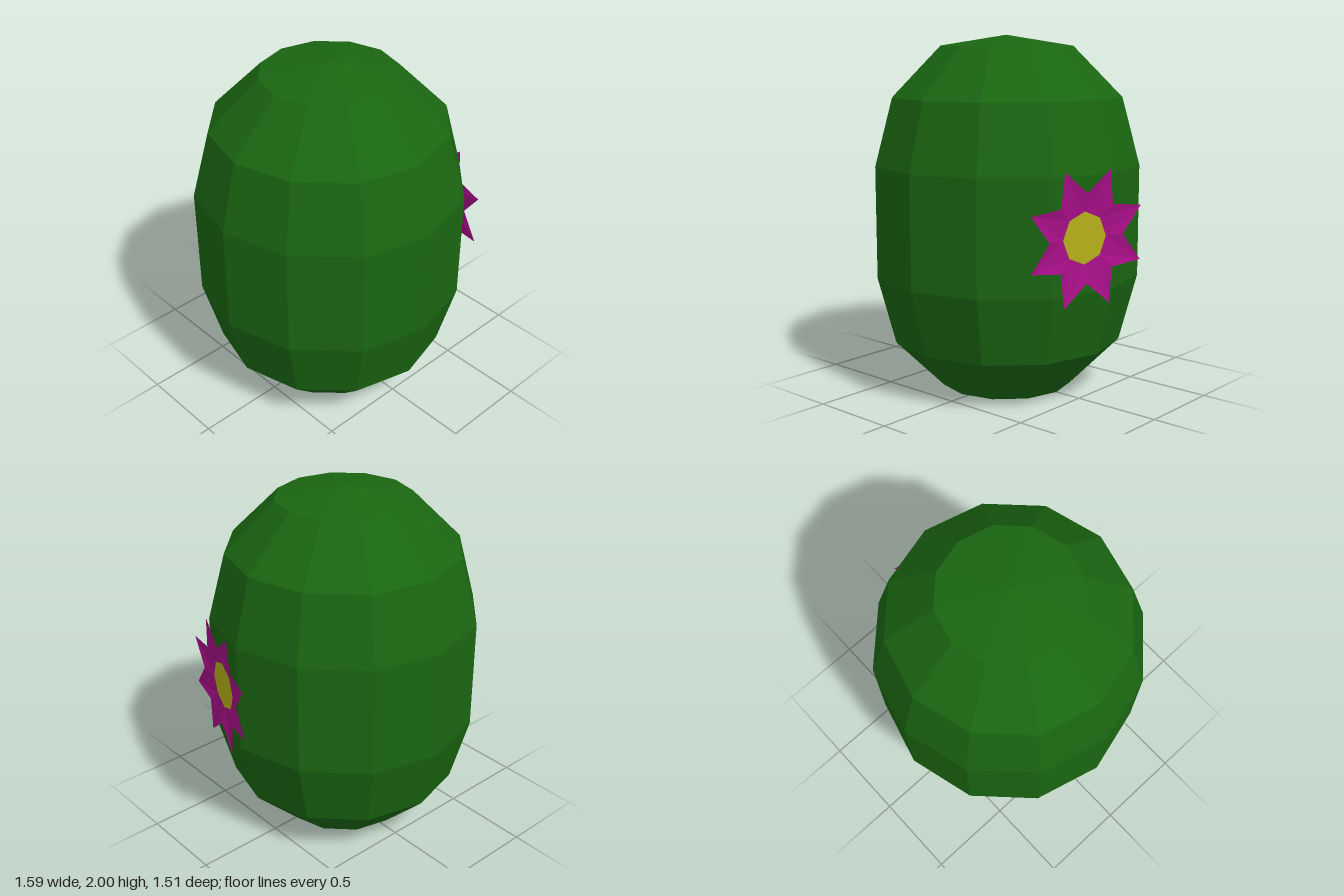
import * as THREE from 'three';

const SIDES = 8;

function mesh(name, geometry, color, side = THREE.FrontSide) {
  const m = new THREE.Mesh(geometry, new THREE.MeshStandardMaterial({ color, flatShading: true, side }));
  m.name = name;
  return m;
}

// Ring of eight pointed petals, tilted slightly outward from the flower's heart
function petalGeometry(innerR, notchR, tipR) {
  const at = (r, step, z) => {
    const a = (step / SIDES) * Math.PI * 2;
    return [r * Math.cos(a), r * Math.sin(a), z];
  };
  const pos = [];
  for (let k = 0; k < SIDES; k++) {
    const in0 = at(innerR, k, 0), in1 = at(innerR, k + 1, 0);
    const notch0 = at(notchR, k, 0.02), notch1 = at(notchR, k + 1, 0.02);
    const tip = at(tipR, k + 0.5, 0.024);
    pos.push(...in0, ...notch0, ...tip, ...in0, ...tip, ...in1, ...in1, ...tip, ...notch1);
  }
  const g = new THREE.BufferGeometry();
  g.setAttribute('position', new THREE.Float32BufferAttribute(pos, 3));
  g.computeVertexNormals();
  return g;
}

export function createModel() {
  const model = new THREE.Group();
  model.name = 'cactus';

  // Twelve-sided barrel body with a flat base and a shallow pointed top
  const profile = [
    [0, 0], [0.38, 0], [0.657, 0.28], [0.757, 0.66],
    [0.757, 1.285], [0.657, 1.66], [0.38, 1.94], [0, 2],
  ].map(([r, y]) => new THREE.Vector2(r, y));
  const body = mesh('body', new THREE.LatheGeometry(profile, 12), 0x1a6611);
  body.position.x = -0.04;
  model.add(body);

  // Flower lying against one face of the body
  const flower = new THREE.Group();
  flower.name = 'flower';
  flower.position.set(0.675, 0.96, 0.195);
  flower.rotation.y = THREE.MathUtils.degToRad(75);
  flower.add(mesh('petals', petalGeometry(0.14, 0.238, 0.385), 0xa80f88, THREE.DoubleSide));
  flower.add(mesh('flowerCentre', new THREE.CircleGeometry(0.14, SIDES), 0xb5b018, THREE.DoubleSide));
  model.add(flower);

  return model;
}
